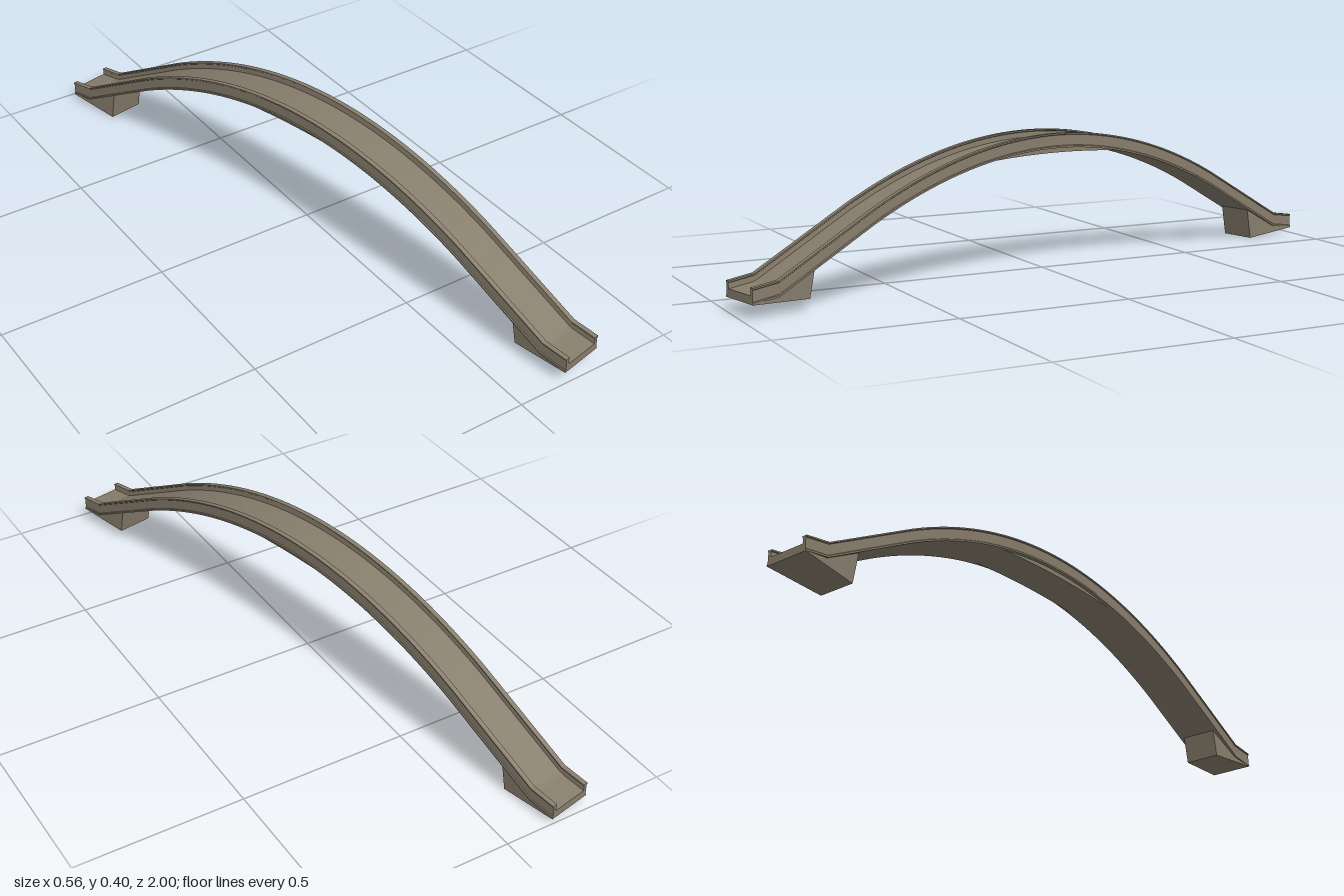
import * as THREE from 'three';
import { ConvexGeometry } from 'three/addons/geometries/ConvexGeometry.js';

const HALF = 1.008; // half length along the span
const TILT = 0.011; // one bank is slightly higher

// Height of the parapet top: a parabola, then straight ramps, then flat landings
function topHeight(s) {
  const a = Math.abs(s);
  if (a < 0.64) return 0.403 - 0.4 * a * a;
  if (a < 0.93) return THREE.MathUtils.lerp(0.239, 0.083, (a - 0.64) / 0.29);
  return THREE.MathUtils.lerp(0.083, 0.072, (a - 0.93) / (HALF - 0.93));
}

// Loft a closed counterclockwise section along z, with capped ends
function loft(stations, sectionAt) {
  const pos = [], index = [];
  const rings = stations.map(sectionAt);
  const n = rings[0].length;
  rings.forEach((ring, i) => ring.forEach(([x, y]) => pos.push(x, y + TILT * stations[i], stations[i])));
  for (let i = 0; i < rings.length - 1; i++) {
    for (let j = 0; j < n; j++) {
      const k = (j + 1) % n;
      const a = i * n + j, b = i * n + k, c = a + n, d = b + n;
      index.push(a, b, d, a, d, c);
    }
  }
  const cap = (ring) => THREE.ShapeUtils.triangulateShape(ring.map(([x, y]) => new THREE.Vector2(x, y)), []);
  const last = (rings.length - 1) * n;
  cap(rings[0]).forEach(([a, b, c]) => index.push(a, c, b));
  cap(rings[rings.length - 1]).forEach(([a, b, c]) => index.push(last + a, last + b, last + c));
  const g = new THREE.BufferGeometry();
  g.setAttribute('position', new THREE.Float32BufferAttribute(pos, 3));
  g.setIndex(index);
  const flat = g.toNonIndexed();
  flat.computeVertexNormals();
  return flat;
}

const range = (from, to, count) => Array.from({ length: count + 1 }, (_, i) => from + (to - from) * i / count);

export function createModel() {
  const model = new THREE.Group();
  const bridge = new THREE.Group();
  bridge.name = 'archBridge';
  bridge.rotation.y = 0.21;
  model.add(bridge);

  const stone = new THREE.MeshStandardMaterial({ color: 0x877d6c });
  stone.name = 'weatheredStone';
  const add = (name, geometry) => {
    const mesh = new THREE.Mesh(geometry, stone);
    mesh.name = name;
    bridge.add(mesh);
  };

  // Deck with parapets, coping lip on top and base ledge below
  const right = [
    [0.069, -0.043], [0.069, -0.038], [0.0665, -0.036], [0.0665, -0.006], [0.069, -0.004],
    [0.069, 0], [0.0545, 0], [0.0545, -0.004], [0.057, -0.006], [0.056, -0.021],
  ];
  const profile = [...right, ...right.map(([x, y]) => [-x, y]).reverse()];
  const stations = [
    ...range(-HALF, -0.93, 2), ...range(-0.93, -0.64, 4).slice(1), ...range(-0.64, 0.64, 40).slice(1),
    ...range(0.64, 0.93, 4).slice(1), ...range(0.93, HALF, 2).slice(1),
  ];
  add('deckAndParapets', loft(stations, (s) => profile.map(([x, y]) => [x, y + topHeight(s)])));

  // Thickened, nearly flat soffit under the crown
  add('crownSoffit', loft(range(-0.26, 0.26, 16), (s) => {
    const top = topHeight(s) - 0.03;
    const bottom = 0.346 - 0.17 * s * s;
    return [[0.058, bottom], [0.058, top], [-0.058, top], [-0.058, bottom]];
  }));

  // Wedge-shaped abutments, flaring out to the ends of the span
  for (const [name, side, footY] of [['frontAbutment', 1, 0.03], ['backAbutment', -1, 0]]) {
    const lift = side * TILT;
    const points = [];
    for (const x of [-1, 1]) {
      points.push(
        new THREE.Vector3(x * 0.056, footY, side * 0.832),
        new THREE.Vector3(x * 0.056, 0.104 + lift * 0.81, side * 0.815),
        new THREE.Vector3(x * 0.0685, 0.028 + lift, side * HALF),
        new THREE.Vector3(x * 0.0665, 0.036 + lift, side * HALF),
      );
    }
    add(name, new ConvexGeometry(points));
  }
  return model;
}
